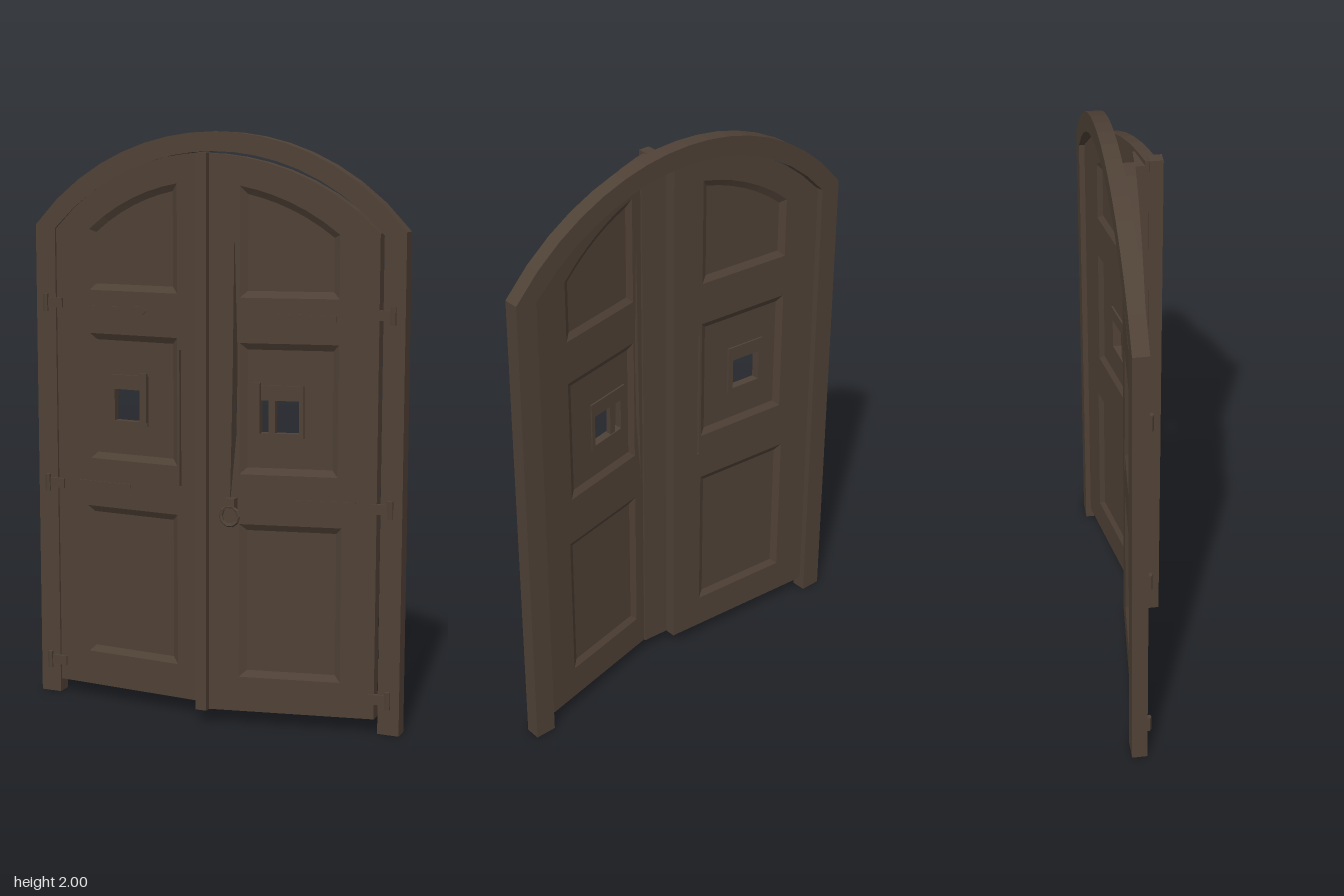
import * as THREE from 'three';

const wood = new THREE.MeshStandardMaterial({ color: 0x4f4136, flatShading: true, side: THREE.DoubleSide });
const CY = 1.128; // centre height shared by all the arch curves
const arcY = (x, r) => CY + Math.sqrt(r * r - x * x);
const v2 = (x, y) => new THREE.Vector2(x, y);

function add(group, name, geo) {
  const mesh = new THREE.Mesh(geo, wood);
  mesh.name = name;
  group.add(mesh);
  return mesh;
}

// Points along an arch of radius r from x = a to x = b
function arc(a, b, r, n) {
  return Array.from({ length: n + 1 }, (_, i) => {
    const x = a + (b - a) * i / n;
    return v2(x, arcY(x, r));
  });
}

// Panel outline, optionally inset; the top is flat (y1) or arched (r)
function outline({ x0, x1, y0, y1, r }, inset = 0) {
  const a = x0 + inset, b = x1 - inset;
  const top = r ? arc(b, a, r - inset, 6) : [v2(b, y1 - inset), v2(a, y1 - inset)];
  return [v2(a, y0 + inset), v2(b, y0 + inset), ...top];
}

const rect = (x0, x1, y0, y1) => outline({ x0, x1, y0, y1 });

// Slab between z0 and z1 with holes
function slab(pts, holes, z0, z1) {
  const shape = new THREE.Shape(pts);
  holes.forEach(h => shape.holes.push(new THREE.Path(h)));
  return new THREE.ExtrudeGeometry(shape, { depth: z1 - z0, bevelEnabled: false }).translate(0, 0, z0);
}

// Sloped moulding between an outer and an inner loop
function moulding(outer, inner, zo, zi) {
  const pos = [], idx = [], n = outer.length;
  for (let i = 0; i < n; i++) {
    pos.push(outer[i].x, outer[i].y, zo, inner[i].x, inner[i].y, zi);
    const a = 2 * i, b = 2 * ((i + 1) % n);
    idx.push(a, b, b + 1, a, b + 1, a + 1);
  }
  const g = new THREE.BufferGeometry();
  g.setAttribute('position', new THREE.Float32BufferAttribute(pos, 3));
  g.setIndex(idx);
  return g;
}

const box = (x0, x1, y0, y1, z0, z1) =>
  new THREE.BoxGeometry(x1 - x0, y1 - y0, z1 - z0).translate((x0 + x1) / 2, (y0 + y1) / 2, (z0 + z1) / 2);

// One leaf: side is +1 or -1, swing is how far it opens per unit of width
function makeLeaf({ side, swing, edge, px, slit, win }) {
  const leaf = new THREE.Group();
  leaf.name = side > 0 ? 'leftLeaf' : 'rightLeaf';
  const T = 0.04;

  // Mirrors a part to its side and swings it on the hinge line
  const put = (name, geo) => {
    const g = geo.index ? geo.toNonIndexed() : geo;
    const p = g.attributes.position;
    for (let i = 0; i < p.count; i++) {
      const x = p.getX(i);
      const z = p.getZ(i) - 0.045 + swing * (0.6 - x);
      p.setXYZ(i, side * x, p.getY(i), z);
    }
    if (side < 0) { // keep faces pointing outward after mirroring
      const a = p.array;
      for (let i = 0; i < a.length; i += 9)
        for (let k = 0; k < 3; k++) [a[i + 3 + k], a[i + 6 + k]] = [a[i + 6 + k], a[i + 3 + k]];
    }
    g.computeVertexNormals();
    return add(leaf, name, g);
  };

  // Stiles and rails with three panel openings
  const panels = [
    { x0: px, x1: 0.475, y0: 0.17, y1: 0.7 },
    { x0: px, x1: 0.46, y0: 0.87, y1: 1.31 },
    { x0: px, x1: 0.46, y0: 1.46, r: 0.71 },
  ];
  const body = [v2(0, 0.05), v2(edge, 0.05), ...arc(edge, 0, 0.803, 8)];
  put('leafFrame', slab(body, [...panels.map(p => outline(p)), slit], -T, 0));

  // Sunken panels with sloped borders on both faces
  panels.forEach((p, i) => {
    const outer = outline(p), inner = outline(p, 0.022);
    put('panel', slab(inner, i === 1 ? [rect(...win)] : [], -0.028, -0.014));
    put('frontMoulding', moulding(outer, inner, 0, -0.014));
    put('backMoulding', moulding(outer, inner, -T, -0.028));
  });

  // Peephole surround, bar and lifted shutter
  const [wx0, wx1, wy0, wy1] = win;
  put('windowSurround', slab(rect(wx0 - 0.02, wx1 + 0.015, wy0 - 0.015, wy1 + 0.05), [rect(...win)], -0.034, -0.005));
  put('windowShutter', box(wx0 - 0.02, wx0 + 0.005, wy0, wy1 + 0.06, -0.006, 0.006));
  if (side > 0) put('windowBar', box(wx0 + 0.028, wx0 + 0.05, wy0, wy1, -0.03, -0.01));

  // Strap ribs, hinge blocks and pins
  put('upperStrap', slab([v2(0.25, 1.38), v2(0.45, 1.385), v2(0.45, 1.405), v2(0.25, 1.41), v2(0.235, 1.395)], [], 0, 0.004));
  put('lowerStrap', slab([v2(0.3, 0.775), v2(0.52, 0.78), v2(0.52, 0.79), v2(0.3, 0.79)], [], 0, 0.004));
  for (const y of [0.12, 0.77, 1.41]) {
    put('hingeBlock', box(0.57, 0.635, y - 0.017, y + 0.017, -0.008, 0.008));
    put('hingePin', new THREE.CylinderGeometry(0.01, 0.01, 0.06, 6).translate(0.635, y, 0.01));
  }
  return leaf;
}

export function createModel() {
  const model = new THREE.Group();
  model.name = 'archedDoubleDoor';

  // Arched surround
  const surround = [
    v2(-0.675, 0), ...arc(-0.675, 0.675, 0.872, 16), v2(0.675, 0),
    v2(0.6, 0), ...arc(0.6, -0.6, 0.807, 16), v2(-0.6, 0),
  ];
  add(model, 'archedSurround', slab(surround, [], -0.1, -0.047));

  // Right leaf nearly shut, left leaf ajar
  model.add(makeLeaf({
    side: -1, swing: 0.085, edge: 0.594, px: 0.115,
    slit: rect(0.1, 0.107, 0.8, 1.27), win: [0.255, 0.365, 1.01, 1.12],
  }));
  const left = makeLeaf({
    side: 1, swing: 0.205, edge: 0.588, px: 0.136,
    slit: [v2(0.105, 0.76), v2(0.126, 1.0), v2(0.13, 1.25), v2(0.118, 1.68), v2(0.114, 1.25), v2(0.11, 1.0)],
    win: [0.2, 0.33, 1.01, 1.12],
  });
  model.add(left);

  // Meeting bar and the tapered stile behind it
  add(left, 'meetingBar', box(-0.005, 0.035, 0.05, 1.932, 0.05, 0.095));
  const wedge = new THREE.Shape([v2(0, -0.005), v2(0.095, -0.012), v2(0.095, -0.035), v2(0.03, -0.055), v2(0, -0.055)]);
  add(left, 'meetingStile', new THREE.ExtrudeGeometry(wedge, { depth: 1.865, bevelEnabled: false })
    .rotateX(-Math.PI / 2).translate(0, 0.05, 0));

  // Pull ring with its back plate
  add(left, 'pullRing', new THREE.TorusGeometry(0.032, 0.007, 5, 10).translate(0.112, 0.73, 0.075));
  add(left, 'pullPlate', box(0.095, 0.13, 0.75, 0.79, 0.05, 0.08));
  return model;
}
